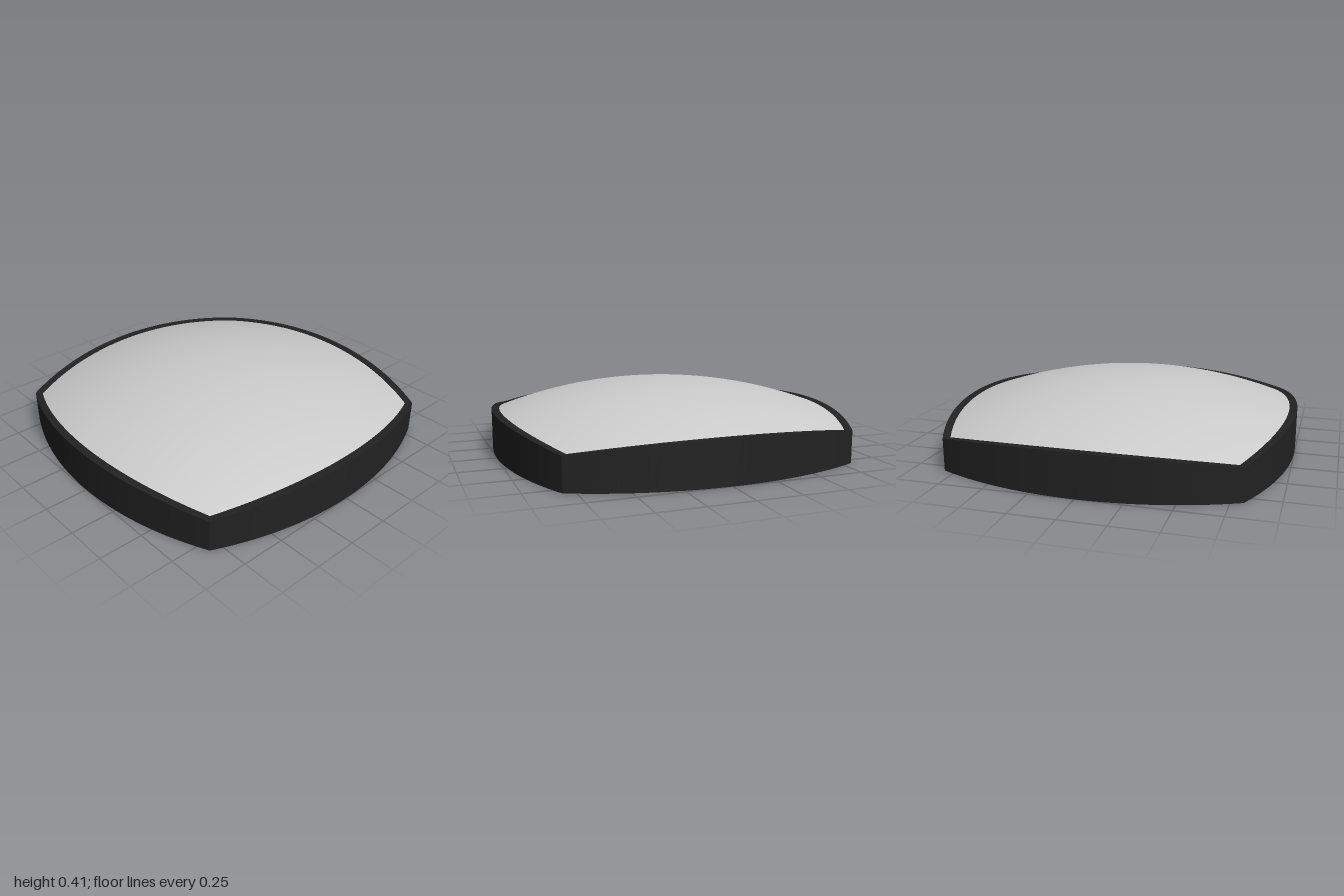
import * as THREE from 'three';

const SEG = 32;        // steps along each bowed side
const RINGS = 20;      // dome rings
const R = 2.85;        // dome sphere radius
const TOP = 0.405;     // dome apex

const domeY = (x, z) => TOP - R + Math.sqrt(R * R - x * x - z * z);

// Front side of a bowed square: circular arc from (-corner, corner) to (corner, corner), bulging to z = mid
function arc(corner, mid) {
  const sag = mid - corner;
  const r = (corner * corner + sag * sag) / (2 * sag);
  const a = Math.asin(corner / r);
  return Array.from({ length: SEG + 1 }, (_, i) => {
    const t = -a + (2 * a * i) / SEG;
    return [r * Math.sin(t), mid - r + r * Math.cos(t)];
  });
}

// Surface through successive rows of points; faces outward for rows running left to right, bottom to top
function loft(rows) {
  const n = rows[0].length;
  const index = [];
  for (let j = 0; j < rows.length - 1; j++) {
    for (let i = 0; i < n - 1; i++) {
      const a = j * n + i, b = a + n;
      index.push(a, a + 1, b + 1, a, b + 1, b);
    }
  }
  const g = new THREE.BufferGeometry();
  g.setAttribute('position', new THREE.Float32BufferAttribute(rows.flat(2), 3));
  g.setIndex(index);
  g.computeVertexNormals();
  return g;
}

export function createModel() {
  const model = new THREE.Group();
  const dark = new THREE.MeshStandardMaterial({ color: 0x222222 });
  const grey = new THREE.MeshStandardMaterial({ color: 0xcccccc });

  const outer = arc(0.815, 1);
  const inner = arc(0.785, 0.955);

  // Rows of points for one side
  const floor = outer.map(([x, z]) => [x, 0, z]);
  const centre = outer.map(() => [0, 0, 0]);
  const rimInner = inner.map(([x, z]) => [x, domeY(x, z) + 0.004, z]);
  const rimOuter = outer.map(([x, z], i) => [x, rimInner[i][1], z]);
  const domeEdge = inner.map(([x, z]) => [x, domeY(x, z), z]);

  // Dome quarter: inner outline shrunk towards the apex, with exact sphere normals
  const domeRows = [];
  for (let j = 0; j <= RINGS; j++) {
    const s = 1 - j / RINGS;
    domeRows.push(inner.map(([x, z]) => [x * s, domeY(x * s, z * s), z * s]));
  }
  const dome = loft(domeRows);
  const pos = dome.attributes.position;
  for (let i = 0; i < pos.count; i++) {
    const n = new THREE.Vector3().fromBufferAttribute(pos, i);
    n.y += R - TOP;
    n.normalize();
    dome.attributes.normal.setXYZ(i, n.x, n.y, n.z);
  }

  const parts = [
    ['sideWall', loft([floor, rimOuter]), dark],
    ['rimTop', loft([rimOuter, rimInner]), dark],
    ['rimLip', loft([rimInner, domeEdge]), dark],
    ['basePlate', loft([centre, floor]), dark],
    ['domePanel', dome, grey],
  ];

  // Four identical sides around the vertical axis
  for (const [name, geometry, material] of parts) {
    const group = new THREE.Group();
    group.name = name;
    for (let k = 0; k < 4; k++) {
      const mesh = new THREE.Mesh(geometry, material);
      mesh.name = name + (k + 1);
      mesh.rotation.y = (k * Math.PI) / 2;
      group.add(mesh);
    }
    model.add(group);
  }
  return model;
}
